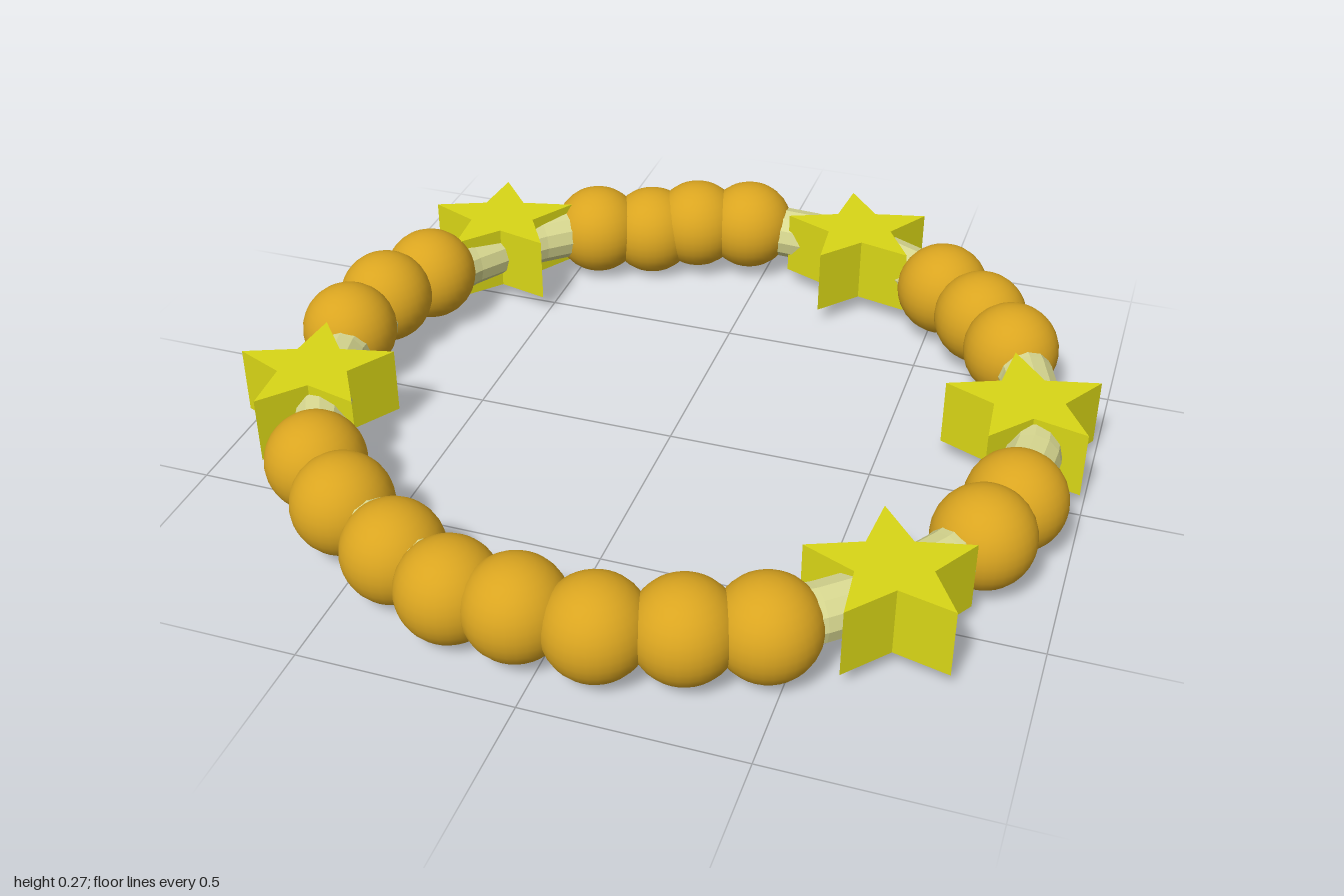
import * as THREE from 'three';

const RING_Y = 0.135;

// Five-pointed star prism, lying flat, one tip pointing to -x
function starGeometry(outer, inner, height) {
  const shape = new THREE.Shape();
  for (let i = 0; i < 10; i++) {
    const r = i % 2 ? inner : outer;
    const a = Math.PI + (i * Math.PI) / 5;
    if (i) shape.lineTo(r * Math.cos(a), r * Math.sin(a));
    else shape.moveTo(r * Math.cos(a), r * Math.sin(a));
  }
  shape.closePath();
  const geo = new THREE.ExtrudeGeometry(shape, { depth: height, bevelEnabled: false });
  geo.translate(0, 0, -height / 2);
  geo.rotateX(-Math.PI / 2);
  return geo;
}

export function createModel() {
  const model = new THREE.Group();
  model.name = 'bracelet';

  const bandMat = new THREE.MeshStandardMaterial({ color: 0xd8d890, flatShading: true });
  const beadMat = new THREE.MeshStandardMaterial({ color: 0xdaa520 });
  const starMat = new THREE.MeshStandardMaterial({ color: 0xd9d616, flatShading: true });

  // Faceted band running through everything
  const bandGeo = new THREE.TorusGeometry(0.853, 0.067, 12, 48);
  bandGeo.rotateX(Math.PI / 2);
  const band = new THREE.Mesh(bandGeo, bandMat);
  band.name = 'band';
  band.position.set(0.02, RING_Y, -0.005);
  model.add(band);

  // Round beads: x, y, z, grouped between the stars
  const beadRuns = {
    backBeads: [[-0.05, 0.145, -0.85], [-0.19, 0.143, -0.815], [-0.31, 0.123, -0.775], [-0.45, 0.13, -0.72]],
    rightBeads: [[-0.78, 0.145, -0.325], [-0.835, 0.153, -0.17], [-0.855, 0.15, 0]],
    frontBeads: [
      [-0.68, 0.14, 0.525], [-0.55, 0.14, 0.65], [-0.38, 0.125, 0.75], [-0.215, 0.125, 0.83],
      [-0.055, 0.135, 0.85], [0.12, 0.13, 0.85], [0.295, 0.13, 0.80], [0.455, 0.13, 0.74],
    ],
    leftBeads: [[0.82, 0.14, 0.32], [0.865, 0.14, 0.17]],
    backLeftBeads: [[0.75, 0.145, -0.435], [0.65, 0.145, -0.565], [0.53, 0.145, -0.675]],
  };
  const beadGeo = new THREE.SphereGeometry(0.118, 32, 16);
  for (const [name, run] of Object.entries(beadRuns)) {
    const group = new THREE.Group();
    group.name = name;
    for (const p of run) {
      const bead = new THREE.Mesh(beadGeo, beadMat);
      bead.name = 'bead';
      bead.position.set(...p);
      group.add(bead);
    }
    model.add(group);
  }

  // Star charms, all turned the same way
  const starGeo = starGeometry(0.193, 0.087, 0.167);
  const stars = [
    [0.835, 0.132, -0.13], [0.27, 0.135, -0.80], [-0.665, 0.137, -0.555],
    [-0.805, 0.138, 0.278], [0.67, 0.132, 0.563],
  ];
  for (const p of stars) {
    const star = new THREE.Mesh(starGeo, starMat);
    star.name = 'star';
    star.position.set(...p);
    model.add(star);
  }

  return model;
}
